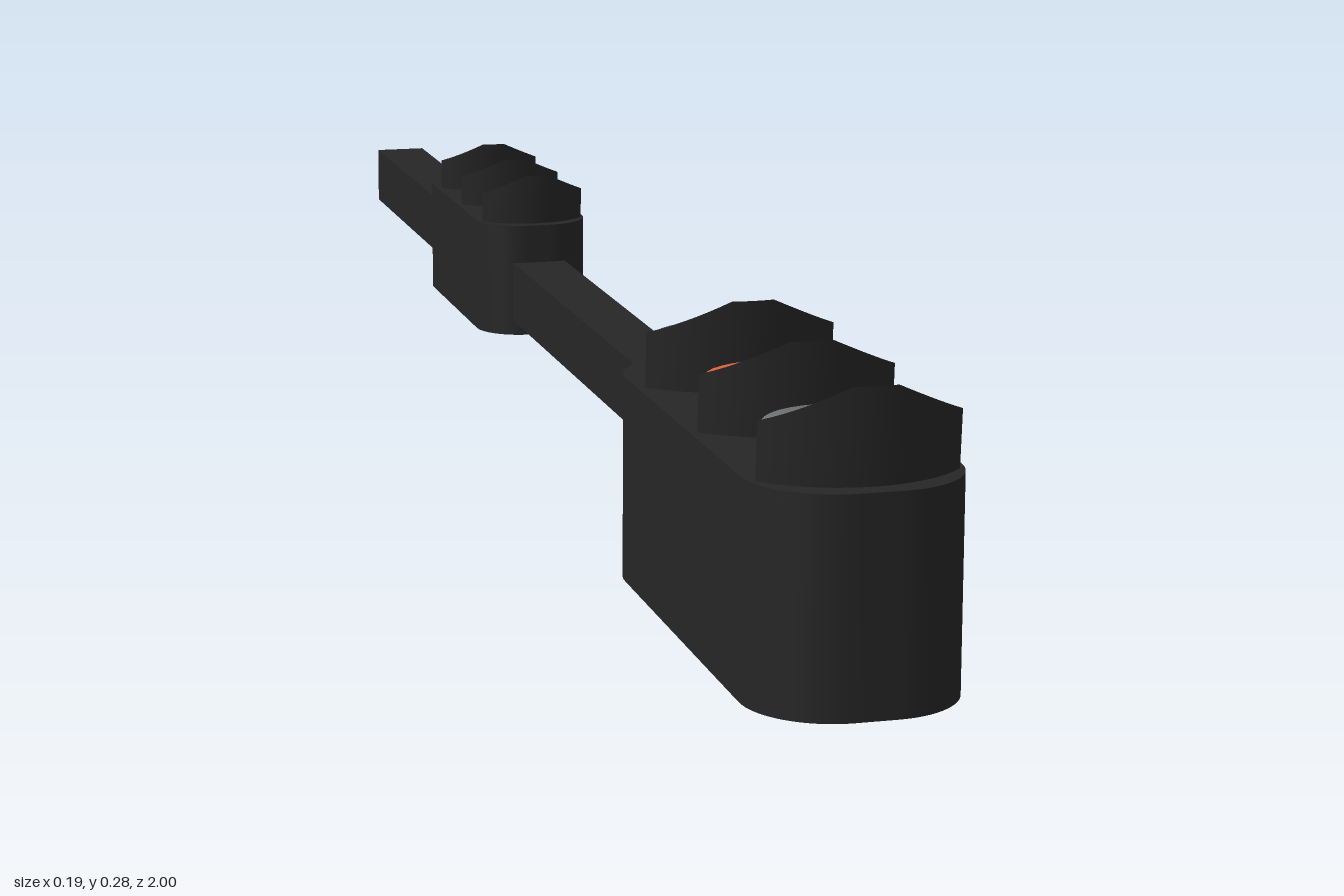
import * as THREE from 'three';
import { toCreasedNormals, mergeVertices } from 'three/addons/utils/BufferGeometryUtils.js';

const black = new THREE.MeshStandardMaterial({ name: 'black', color: 0x262626 });
const blackSheet = new THREE.MeshStandardMaterial({ name: 'blackSheet', color: 0x262626, side: THREE.DoubleSide });
const grey = new THREE.MeshStandardMaterial({ name: 'greyLens', color: 0x6f7373 });
const orange = new THREE.MeshStandardMaterial({ name: 'orangeLens', color: 0xe0633a });

function part(name, geometry, material, x = 0, y = 0, z = 0) {
  const mesh = new THREE.Mesh(geometry, material);
  mesh.name = name;
  mesh.position.set(x, y, z);
  return mesh;
}

// Rounded-end box, standing on y = 0
function housingGeometry(w, l, h, r) {
  const s = new THREE.Shape();
  s.absarc(w - r, l - r, r, 0, Math.PI / 2);
  s.absarc(r - w, l - r, r, Math.PI / 2, Math.PI);
  s.absarc(r - w, r - l, r, Math.PI, Math.PI * 1.5);
  s.absarc(w - r, r - l, r, Math.PI * 1.5, Math.PI * 2);
  s.closePath();
  const g = new THREE.ExtrudeGeometry(s, { depth: h, bevelEnabled: false, curveSegments: 8 });
  g.rotateX(-Math.PI / 2);
  return toCreasedNormals(g, 0.6);
}

// Short disc with normals blended over the rim, so it shades like a dome
function lensGeometry() {
  const g = new THREE.CylinderGeometry(0.07, 0.07, 0.035, 32);
  g.deleteAttribute('normal');
  g.deleteAttribute('uv');
  const merged = mergeVertices(g);
  merged.computeVertexNormals();
  return merged;
}

// Curved hood plate with a chamfered peak
function visorGeometry() {
  const g = new THREE.PlaneGeometry(0.18, 1, 18, 1);
  const p = g.attributes.position;
  for (let i = 0; i < p.count; i++) {
    const x = p.getX(i);
    const top = p.getY(i) > 0;
    const peak = 0.053 + 0.033 * Math.min(1, (0.09 - Math.abs(x)) / 0.07);
    const arc = Math.sqrt(0.121 ** 2 - x * x) - 0.121;
    p.setXYZ(i, x, top ? peak : 0, arc + (top ? 0.004 : 0));
  }
  g.computeVertexNormals();
  return g;
}

// One signal head: housing, three lenses, three visors
function signalHead(name) {
  const head = new THREE.Group();
  head.name = name;
  const h = 0.197;
  head.add(part('housing', housingGeometry(0.097, 0.265, h, 0.078), black));
  const lens = lensGeometry();
  const visor = visorGeometry();
  ['front', 'middle', 'back'].forEach((label, i) => {
    const z = 0.165 - i * 0.175;
    head.add(part(label + 'Lens', lens, i === 1 ? orange : grey, 0, h + 0.0175, z));
    head.add(part(label + 'Visor', visor, blackSheet, 0, h, z + 0.081));
  });
  return head;
}

// Hollow square pole along z
function poleGeometry(w, h, wall, length) {
  const rect = (Type, a, b) => new Type([[-a, -b], [a, -b], [a, b], [-a, b]].map(([x, y]) => new THREE.Vector2(x, y)));
  const s = rect(THREE.Shape, w / 2, h / 2);
  s.holes.push(rect(THREE.Path, w / 2 - wall, h / 2 - wall));
  return new THREE.ExtrudeGeometry(s, { depth: length, bevelEnabled: false });
}

export function createModel() {
  const model = new THREE.Group();
  model.name = 'trafficSignal';

  const large = signalHead('largeSignalHead');
  large.position.z = 0.735;

  const small = signalHead('smallSignalHead');
  small.scale.setScalar(0.64);
  small.position.set(0, 0.074, -0.37);

  const pole = part('pole', poleGeometry(0.06, 0.067, 0.003, 1.5), black, 0, 0.124, -1);
  model.add(large, small, pole);
  return model;
}
